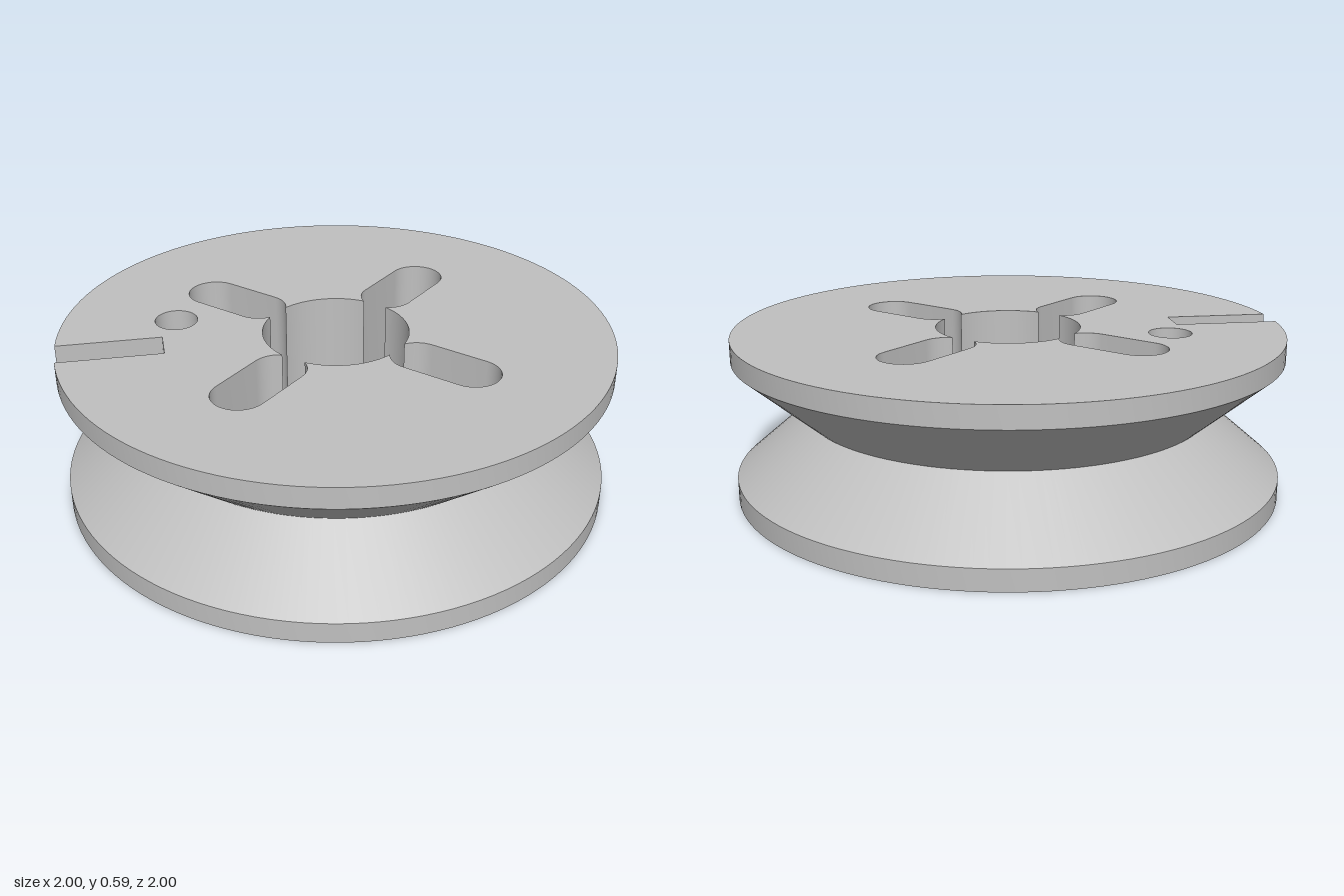
import * as THREE from 'three';
import { toCreasedNormals } from 'three/addons/utils/BufferGeometryUtils.js';

const H = 0.59, RIM = 0.077, MID = H / 2;   // total height, rim thickness, neck height
const NECK = 0.745, BORE = 0.265;           // neck and bore radii
const SLOT_R = 0.098, SLOT_IN = 0.346, SLOT_OUT = 0.563; // radial slot: half width, end centres
const KEY_W = 0.062, KEY_X = -0.62;         // rim notch: half width, inner end
const PIN = { x: -0.56, y: 0.19, r: 0.078 };

// Plan points along an arc (plan y is -z)
function arc(cx, cy, r, a0, a1, n) {
  return Array.from({ length: n + 1 }, (_, i) => {
    const a = a0 + (a1 - a0) * i / n;
    return new THREE.Vector2(cx + r * Math.cos(a), cy + r * Math.sin(a));
  });
}

// Surface through rows of plan points, each at its own height
function loft(rows) {
  const pos = [], index = [], n = rows[0].points.length;
  rows.forEach(({ points, y }) => points.forEach(p => pos.push(p.x, y, -p.y)));
  for (let j = 0; j < rows.length - 1; j++) {
    for (let i = 0; i < n - 1; i++) {
      const a = j * n + i, b = a + n;
      index.push(a, a + 1, b, a + 1, b + 1, b);
    }
  }
  const geo = new THREE.BufferGeometry();
  geo.setAttribute('position', new THREE.Float32BufferAttribute(pos, 3));
  geo.setIndex(index);
  return toCreasedNormals(geo, 0.5);
}

// Flat horizontal face at height y
function plate(outline, holes, y, down = false) {
  const shape = new THREE.Shape(outline);
  shape.holes = holes.map(h => new THREE.Path(h));
  return new THREE.ShapeGeometry(shape).rotateX(down ? Math.PI / 2 : -Math.PI / 2).translate(0, y, 0);
}

// Bore outline with four round-ended radial slots breaking into it
function boreOutline() {
  const alpha = Math.acos((BORE ** 2 + SLOT_IN ** 2 - SLOT_R ** 2) / (2 * BORE * SLOT_IN));
  const beta = Math.atan2(BORE * Math.sin(alpha), BORE * Math.cos(alpha) - SLOT_IN);
  const q = Math.PI / 2, origin = new THREE.Vector2();
  const quarter = [
    ...arc(SLOT_IN, 0, SLOT_R, -beta, -q, 8),
    ...arc(SLOT_OUT, 0, SLOT_R, -q, q, 24),
    ...arc(SLOT_IN, 0, SLOT_R, q, beta, 8),
    ...arc(0, 0, BORE, alpha, q - alpha, 20).slice(1, -1),
  ];
  const out = [];
  for (let k = 0; k < 4; k++) {
    quarter.forEach(p => out.push(p.clone().rotateAround(origin, q / 2 + k * q)));
  }
  return out;
}

export function createModel() {
  const group = new THREE.Group();
  const grey = new THREE.MeshStandardMaterial({ color: 0xc0c0c0, side: THREE.DoubleSide });
  grey.name = 'plain grey';
  const add = (name, geo) => {
    const mesh = new THREE.Mesh(geo, grey);
    mesh.name = name;
    group.add(mesh);
  };

  const circle = r => arc(0, 0, r, -Math.PI, Math.PI, 128);
  // Circle left open where the rim notch cuts through
  const openCircle = r => {
    const gap = Math.asin(KEY_W / r);
    return arc(0, 0, r, -Math.PI + gap, Math.PI - gap, 128);
  };
  const bore = boreOutline();
  const closedBore = [...bore, bore[0]];
  const pin = arc(PIN.x, PIN.y, PIN.r, 0, Math.PI * 2, 40);

  // Outer V groove
  add('lowerFlange', loft([
    { points: circle(1), y: 0 }, { points: circle(1), y: RIM }, { points: circle(NECK), y: MID },
  ]));
  add('upperFlange', loft([
    { points: openCircle(NECK), y: MID }, { points: openCircle(1), y: H - RIM }, { points: openCircle(1), y: H },
  ]));

  // End faces
  const notchEnd = [new THREE.Vector2(KEY_X, KEY_W), new THREE.Vector2(KEY_X, -KEY_W)];
  add('topFace', plate([...openCircle(1), ...notchEnd], [bore, pin.slice(0, -1)], H));
  add('bottomFace', plate(circle(1).slice(0, -1), [bore], 0, true));

  // Through bore with slots
  add('boreWall', loft([{ points: closedBore, y: H }, { points: closedBore, y: 0 }]));

  // Blind pin hole
  add('pinHoleWall', loft([{ points: pin, y: H }, { points: pin, y: MID }]));
  add('pinHoleFloor', plate(pin.slice(0, -1), [], MID));

  // Rim notch, cut down to the neck
  const edge = r => -Math.sqrt(r * r - KEY_W * KEY_W);
  const side = new THREE.Shape([
    [KEY_X, H], [edge(1), H], [edge(1), H - RIM], [edge(NECK), MID], [KEY_X, MID],
  ].map(p => new THREE.Vector2(...p)));
  for (const s of [-1, 1]) {
    add(s < 0 ? 'notchBackWall' : 'notchFrontWall', new THREE.ShapeGeometry(side).translate(0, 0, s * KEY_W));
  }
  add('notchEndWall', new THREE.PlaneGeometry(2 * KEY_W, H - MID)
    .rotateY(-Math.PI / 2).translate(KEY_X, (H + MID) / 2, 0));
  const gap = Math.asin(KEY_W / NECK);
  add('notchFloor', plate([...arc(0, 0, NECK, Math.PI - gap, Math.PI + gap, 6), ...[...notchEnd].reverse()], [], MID));

  return group;
}
